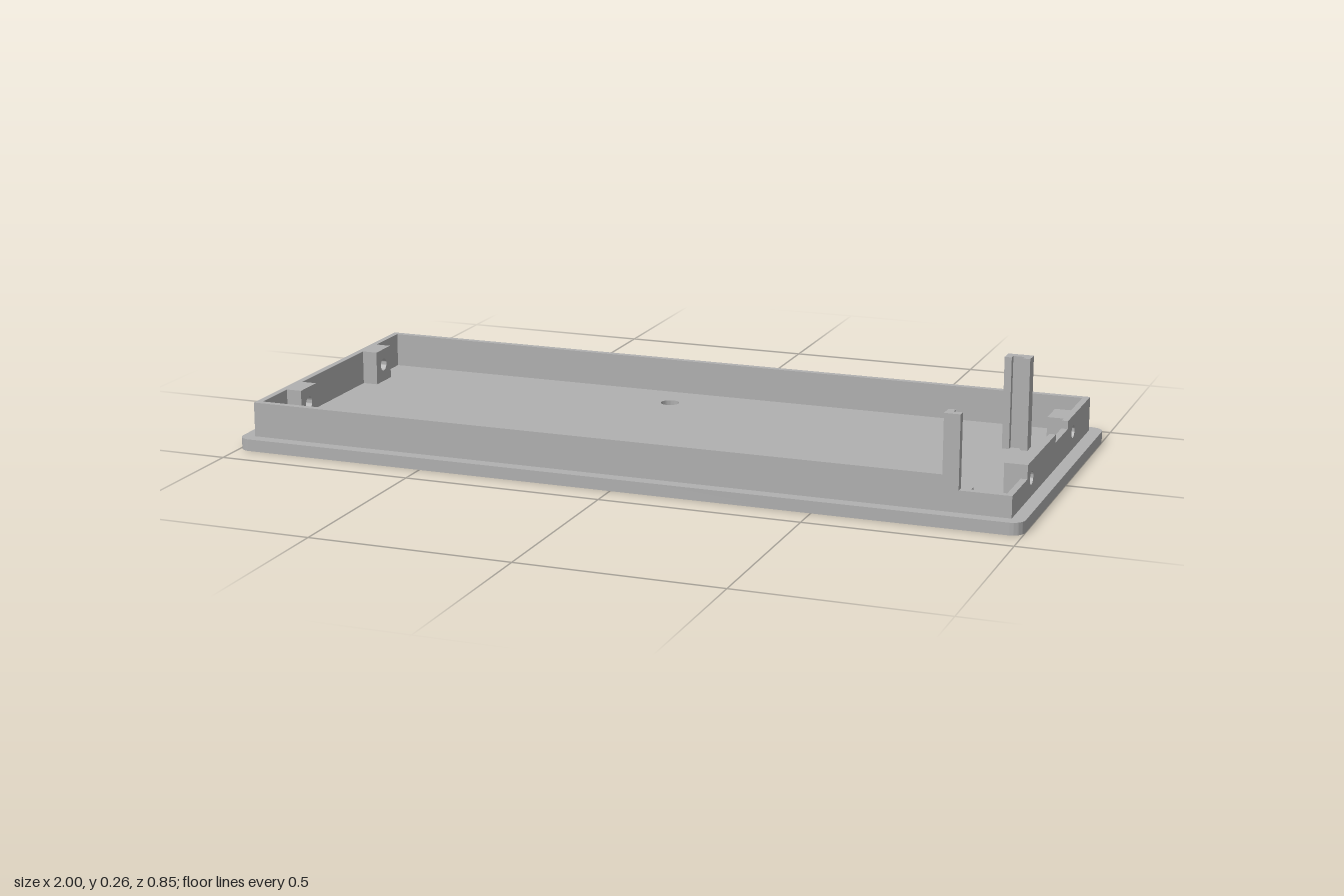
import * as THREE from 'three';
import { toCreasedNormals } from 'three/addons/utils/BufferGeometryUtils.js';

const BASE_TOP = 0.03, RIM = 0.117, CUT = 0.083;
const OUT_X = 0.967, IN_X = 0.951, OUT_Z = 0.395, IN_Z = 0.378;
const HOLE_Z = 0.212, HOLE_Y = 0.075, HOLE_R = 0.0165;

const polygon = (points) => new THREE.Shape(points.map(([a, b]) => new THREE.Vector2(a, b)));

function addHole(shape, a, b, r) {
  const hole = new THREE.Path();
  hole.absarc(a, b, r, 0, Math.PI * 2, true);
  shape.holes.push(hole);
}

function extrude(shape, depth) {
  const g = new THREE.ExtrudeGeometry(shape, { depth, bevelEnabled: false, curveSegments: 16 });
  return toCreasedNormals(g, 0.6);
}

// outline in (x, -z), raised from y0 to y1
const extrudeUp = (shape, y0, y1) => extrude(shape, y1 - y0).rotateX(-Math.PI / 2).translate(0, y0, 0);
// outline in (-z, y), running from x0 to x1
const extrudeAcross = (shape, x0, x1) => extrude(shape, x1 - x0).rotateY(Math.PI / 2).translate(x0, 0, 0);

export function createModel() {
  const model = new THREE.Group();
  model.name = 'enclosureLid';
  const grey = new THREE.MeshStandardMaterial({ color: 0xb0b0b0 });
  grey.name = 'grey plastic';
  const add = (name, geometry) => {
    const mesh = new THREE.Mesh(geometry, grey);
    mesh.name = name;
    model.add(mesh);
  };

  // Base plate with rounded corners and two screw holes
  const w = 1, d = 0.427, r = 0.032;
  const plate = new THREE.Shape();
  plate.absarc(w - r, d - r, r, 0, Math.PI / 2);
  plate.absarc(-w + r, d - r, r, Math.PI / 2, Math.PI);
  plate.absarc(-w + r, -d + r, r, Math.PI, Math.PI * 1.5);
  plate.absarc(w - r, -d + r, r, Math.PI * 1.5, Math.PI * 2);
  for (const z of [-0.272, 0.162]) addHole(plate, -0.113, -z, 0.024);
  add('basePlate', extrudeUp(plate, 0, BASE_TOP));

  // Long walls; the front one is lowered at its left end
  const backWall = polygon([[-IN_X, BASE_TOP], [IN_X, BASE_TOP], [IN_X, RIM], [-IN_X, RIM]]);
  add('backWall', extrude(backWall, OUT_Z - IN_Z).translate(0, 0, -OUT_Z));
  const frontWall = polygon([[-IN_X, BASE_TOP], [IN_X, BASE_TOP], [IN_X, CUT],
    [0.842, CUT], [0.842, RIM], [-IN_X, RIM]]);
  add('frontWall', extrude(frontWall, OUT_Z - IN_Z).translate(0, 0, IN_Z));

  // End walls with side holes; the left one has a corner cut and a shallow slot
  const rightWall = polygon([[-OUT_Z, BASE_TOP], [OUT_Z, BASE_TOP], [OUT_Z, RIM], [-OUT_Z, RIM]]);
  const leftWall = polygon([[-OUT_Z, BASE_TOP], [OUT_Z, BASE_TOP], [OUT_Z, RIM],
    [0.152, RIM], [0.152, 0.097], [0.025, 0.097], [0.025, RIM],
    [-0.253, RIM], [-0.253, CUT], [-OUT_Z, CUT]]);
  for (const wall of [rightWall, leftWall]) {
    for (const s of [-1, 1]) addHole(wall, s * HOLE_Z, HOLE_Y, HOLE_R);
  }
  add('rightWall', extrudeAcross(rightWall, -OUT_X, -IN_X));
  add('leftWall', extrudeAcross(leftWall, IN_X, OUT_X));

  // Drilled screw blocks inside both end walls
  for (const side of [-1, 1]) {
    for (const s of [-1, 1]) {
      const a = s * HOLE_Z, h = 0.041;
      const block = polygon([[a - h, BASE_TOP], [a + h, BASE_TOP], [a + h, RIM], [a - h, RIM]]);
      addHole(block, a, HOLE_Y, HOLE_R);
      const x0 = side > 0 ? 0.911 : -IN_X;
      add('screwBlock', extrudeAcross(block, x0, x0 + IN_X - 0.911));
    }
  }

  // Grooved guide posts facing each other
  const X0 = 0.803, X1 = 0.867, G0 = 0.821, G1 = 0.849;
  const backPost = polygon([[X0, 0.158], [G0, 0.158], [G0, 0.174], [G1, 0.174], [G1, 0.158],
    [X1, 0.158], [X1, 0.195], [X0, 0.195]]);
  add('backPost', extrudeUp(backPost, BASE_TOP, 0.262));
  const frontFoot = polygon([[X0, -OUT_Z], [X1, -OUT_Z], [X1, -0.357], [G1, -0.357],
    [G1, -0.375], [G0, -0.375], [G0, -0.357], [X0, -0.357]]);
  add('frontPostFoot', extrudeUp(frontFoot, BASE_TOP, CUT));
  const frontPost = polygon([[X0, -OUT_Z], [0.842, -OUT_Z], [0.842, -0.375],
    [G0, -0.375], [G0, -0.357], [X0, -0.357]]);
  add('frontPost', extrudeUp(frontPost, CUT, 0.262));

  return model;
}
